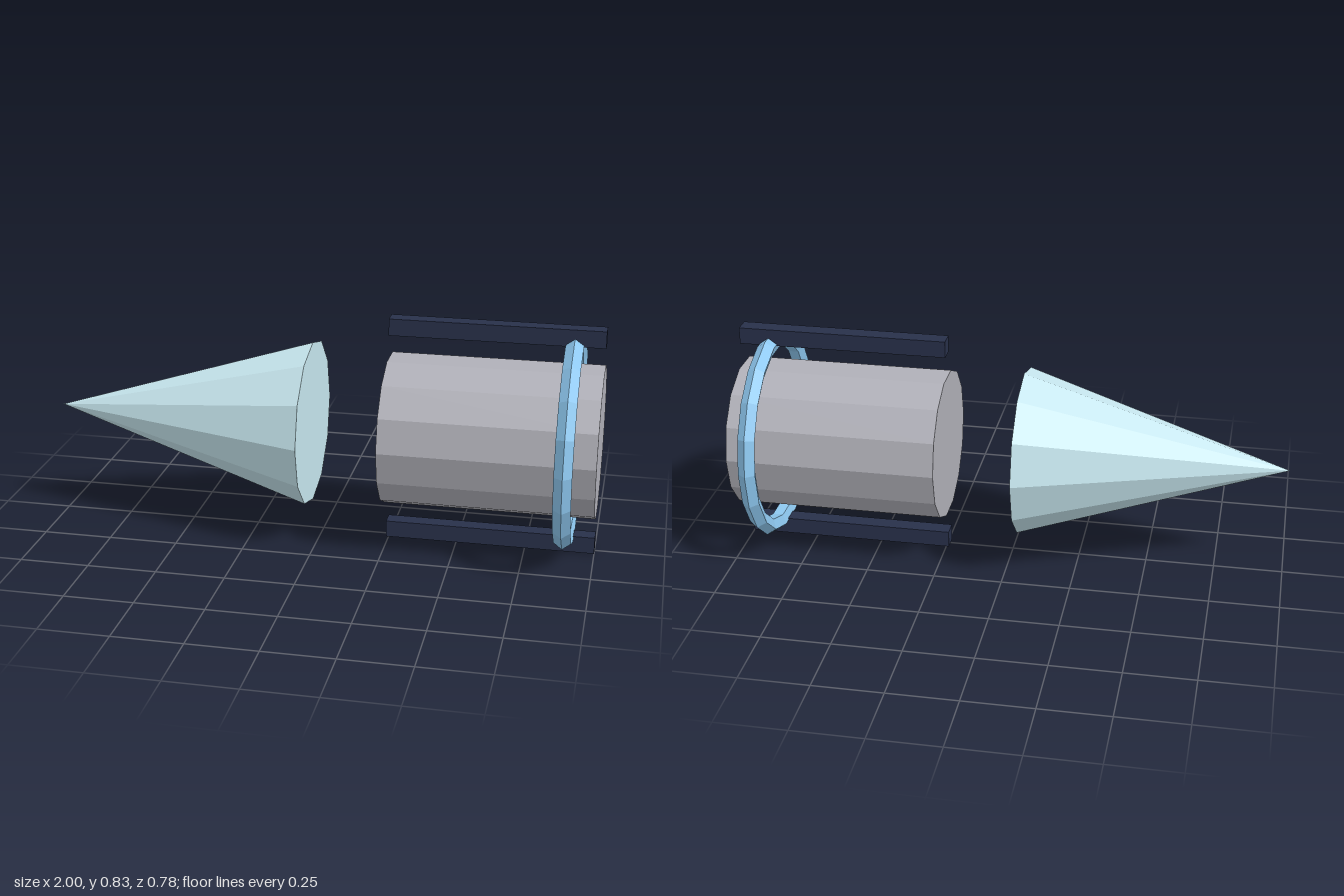
import * as THREE from 'three';

const AXIS_Y = 0.417; // height of the long axis

export function createModel() {
  const model = new THREE.Group();

  const add = (name, geometry, color, x, y = AXIS_Y) => {
    const material = new THREE.MeshStandardMaterial({ color, flatShading: true });
    const mesh = new THREE.Mesh(geometry, material);
    mesh.name = name;
    mesh.position.set(x, y, 0);
    model.add(mesh);
    return mesh;
  };

  // Pointed nose, tip towards -x
  add('noseCone', new THREE.ConeGeometry(0.303, 0.96, 12).rotateZ(Math.PI / 2), 0xc8e8f0, -0.52);

  // Fourteen-sided body, separate from the nose
  add('body', new THREE.CylinderGeometry(0.275, 0.275, 0.76, 14).rotateZ(Math.PI / 2), 0xb0b0b8, 0.62);

  // Ring around the rear of the body, pentagonal section
  add('ring', new THREE.TorusGeometry(0.357, 0.033, 5, 18).rotateY(Math.PI / 2), 0x8ec8f0, 0.893);

  // Rails above and below the body
  for (const [name, side] of [['topRail', 1], ['bottomRail', -1]]) {
    add(name, new THREE.BoxGeometry(0.76, 0.061, 0.061), 0x28304a, 0.62, AXIS_Y + side * 0.3865);
  }

  return model;
}
